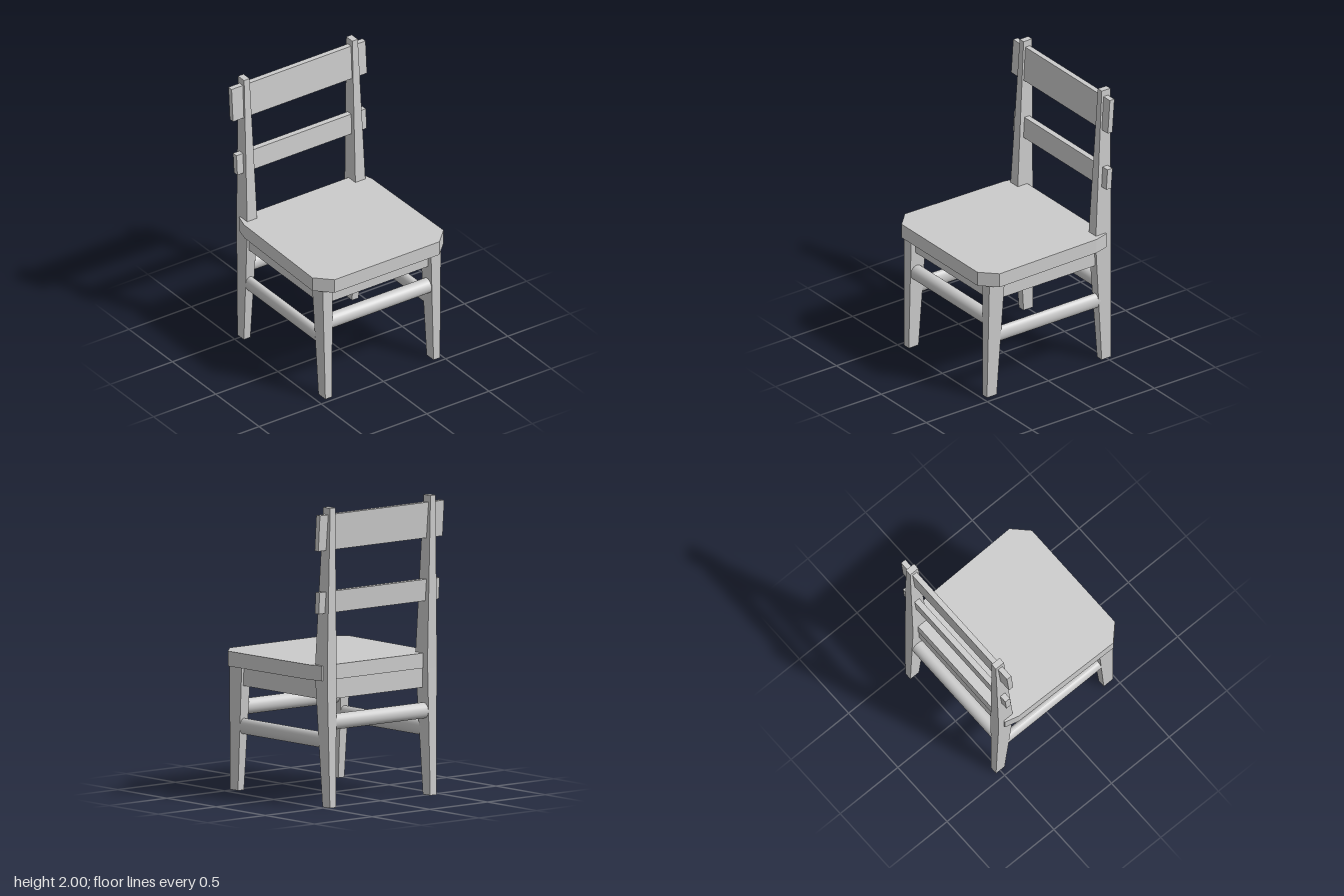
import * as THREE from 'three';
import { toCreasedNormals } from 'three/addons/utils/BufferGeometryUtils.js';

const material = new THREE.MeshStandardMaterial({ color: 0xcccccc });
const flatMaterial = new THREE.MeshStandardMaterial({ color: 0xcccccc, flatShading: true });

function add(parent, name, geometry, mat = flatMaterial) {
  const mesh = new THREE.Mesh(geometry, mat);
  mesh.name = name;
  parent.add(mesh);
  return mesh;
}

function block(parent, name, x0, x1, y0, y1, z0, z1) {
  const mesh = add(parent, name, new THREE.BoxGeometry(x1 - x0, y1 - y0, z1 - z0));
  mesh.position.set((x0 + x1) / 2, (y0 + y1) / 2, (z0 + z1) / 2);
  return mesh;
}

// Square post through sections [y, half width, back z, front z], centred on x
function taperedPost(x, sections) {
  const positions = [];
  const index = [];
  for (const [y, w, back, front] of sections) {
    positions.push(x - w, y, front, x + w, y, front, x + w, y, back, x - w, y, back);
  }
  for (let s = 0; s < sections.length - 1; s++) {
    for (let i = 0; i < 4; i++) {
      const a = s * 4 + i, b = s * 4 + (i + 1) % 4;
      index.push(a, b, b + 4, a, b + 4, a + 4);
    }
  }
  const t = (sections.length - 1) * 4;
  index.push(0, 2, 1, 0, 3, 2, t, t + 1, t + 2, t, t + 2, t + 3);
  const geometry = new THREE.BufferGeometry();
  geometry.setAttribute('position', new THREE.Float32BufferAttribute(positions, 3));
  geometry.setIndex(index);
  geometry.computeVertexNormals();
  return geometry;
}

// Back slat leaning backwards: z is the front face at its bottom and top
function slat(parent, name, x0, x1, y0, y1, zBottom, zTop, depth) {
  add(parent, name, taperedPost((x0 + x1) / 2, [
    [y0, (x1 - x0) / 2, zBottom - depth, zBottom],
    [y1, (x1 - x0) / 2, zTop - depth, zTop],
  ]));
}

export function createModel() {
  const chair = new THREE.Group();
  chair.name = 'chair';
  const frame = new THREE.Group();
  frame.name = 'frame';
  frame.position.x = 0.008;
  chair.add(frame);

  // Seat board with cut front corners
  const outline = [[0.422, 0.53], [0.528, 0.425], [0.514, -0.38], [0.487, -0.48]];
  const mirrored = outline.map(([x, z]) => [-x, z]).reverse();
  const shape = new THREE.Shape([...outline, ...mirrored].map(([x, z]) => new THREE.Vector2(x, -z)));
  const seat = new THREE.ExtrudeGeometry(shape, { depth: 0.1, bevelEnabled: false });
  seat.rotateX(-Math.PI / 2);
  seat.translate(0, 0.845, 0);
  add(frame, 'seat', seat);

  for (const side of [-1, 1]) {
    const label = side > 0 ? 'left' : 'right';
    const x = side * 0.435;

    // Legs
    add(frame, label + 'BackPost', taperedPost(x, [
      [0, 0.026, -0.535, -0.46],
      [0.85, 0.04, -0.525, -0.402],
      [0.95, 0.04, -0.525, -0.402],
      [2, 0.022, -0.533, -0.463],
    ]));
    add(frame, label + 'FrontLeg', taperedPost(x, [
      [0.01, 0.026, 0.4, 0.48],
      [0.85, 0.04, 0.345, 0.47],
    ]));

    // Side apron and oval side stretcher
    block(frame, label + 'Apron', x - 0.02, x + 0.02, 0.715, 0.846, -0.42, 0.38);
    const rod = new THREE.CylinderGeometry(0.053, 0.053, 0.82, 24);
    rod.rotateX(Math.PI / 2);
    rod.scale(0.65, 1, 1);
    const stretcher = add(frame, label + 'Stretcher', toCreasedNormals(rod, 0.7), material);
    stretcher.position.set(x, 0.442, -0.035);
  }

  // Front and back aprons and stretchers
  block(frame, 'frontApron', -0.42, 0.42, 0.715, 0.846, 0.39, 0.435);
  block(frame, 'backApron', -0.42, 0.42, 0.715, 0.846, -0.47, -0.425);
  for (const [name, z] of [['frontStretcher', 0.422], ['backStretcher', -0.478]]) {
    const rod = new THREE.CylinderGeometry(0.053, 0.053, 0.83, 24);
    rod.rotateZ(Math.PI / 2);
    rod.scale(1, 1, 0.92);
    add(frame, name, toCreasedNormals(rod, 0.7), material).position.set(0, 0.563, z);
  }

  // Back slats
  slat(chair, 'topSlat', -0.54, 0.537, 1.715, 1.955, -0.46, -0.477, 0.037);
  slat(chair, 'middleSlat', -0.51, 0.53, 1.295, 1.44, -0.453, -0.463, 0.04);

  return chair;
}
